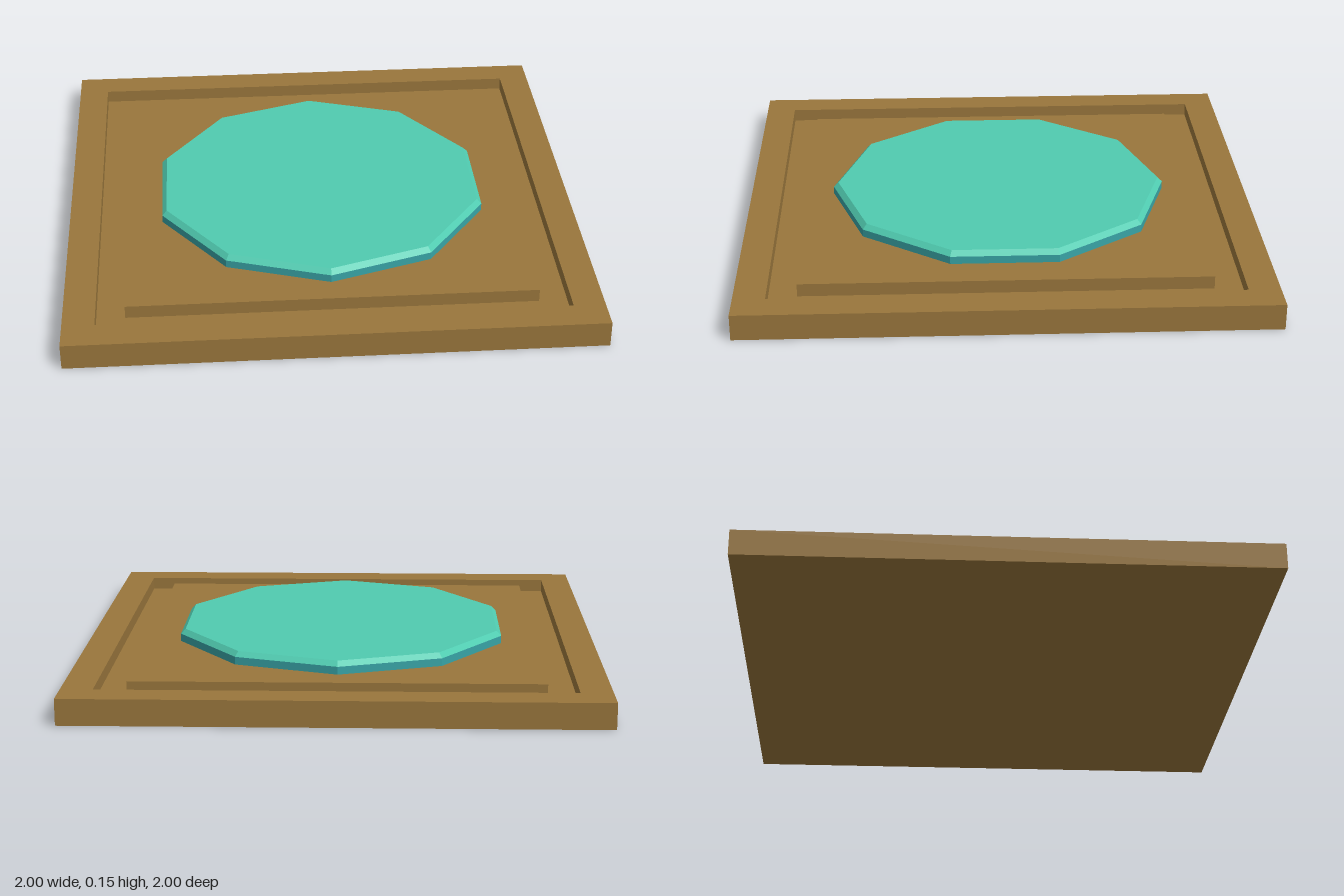
import * as THREE from 'three';

const wood = new THREE.MeshStandardMaterial({ color: 0x99763c });
wood.name = 'brown';
const teal = new THREE.MeshStandardMaterial({ color: 0x50cbb0 });
teal.name = 'light teal';
const tealEdge = new THREE.MeshStandardMaterial({ color: 0x38a3a5 });
tealEdge.name = 'deep teal';

// Faceted solid: a [radius, y] profile turned around y with few sides
function faceted(name, profile, sides, start, material) {
  const points = profile.map(([r, y]) => new THREE.Vector2(r, y));
  const geometry = new THREE.LatheGeometry(points, sides, start).toNonIndexed();
  geometry.computeVertexNormals();
  const mesh = new THREE.Mesh(geometry, material);
  mesh.name = name;
  return mesh;
}

export function createModel() {
  const model = new THREE.Group();
  model.name = 'floorPlate';

  // Square plate with a sunken groove running round it (half widths)
  const outer = 1, grooveOuter = 0.88, grooveInner = 0.773;
  const top = 0.1, grooveFloor = 0.05;
  const plate = [
    [0, 0], [outer, 0], [outer, top],
    [grooveOuter, top], [grooveOuter, grooveFloor],
    [grooveInner, grooveFloor], [grooveInner, top], [0, top],
  ].map(([half, y]) => [half * Math.SQRT2, y]);
  model.add(faceted('groovedPlate', plate, 4, Math.PI / 4, wood));

  // Ten-sided button: darker wall, lighter bevelled cap
  const radius = 0.667, wallTop = 0.13;
  const button = new THREE.Group();
  button.name = 'button';
  button.add(
    faceted('buttonWall', [[radius, top], [radius, wallTop]], 10, 0, tealEdge),
    faceted('buttonCap', [[radius, wallTop], [0.648, 0.149], [0, 0.149]], 10, 0, teal),
  );
  model.add(button);

  return model;
}
